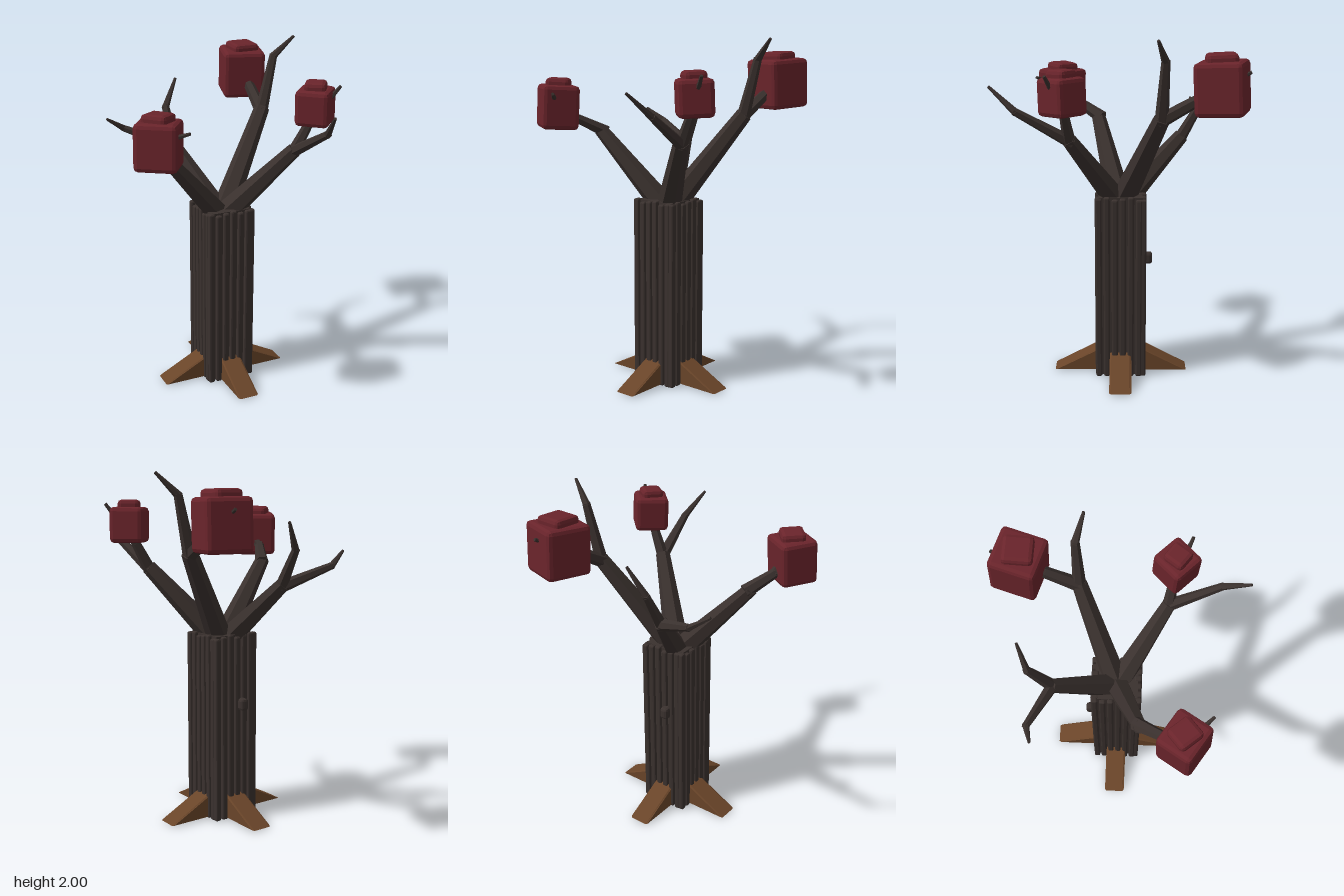
import * as THREE from 'three';
import { RoundedBoxGeometry } from 'three/addons/geometries/RoundedBoxGeometry.js';

const paint = (color) => new THREE.MeshStandardMaterial({ color, flatShading: true });

export function createModel() {
  const bark = paint(0x3a312e);
  const rootWood = paint(0x6a4529);
  const red = paint(0x6a242b);
  const tree = new THREE.Group();
  tree.name = 'tree';

  const add = (parent, name, geometry, material, x = 0, y = 0, z = 0) => {
    const mesh = new THREE.Mesh(geometry, material);
    mesh.name = name;
    mesh.position.set(x, y, z);
    parent.add(mesh);
    return mesh;
  };

  // Trunk: square core edged with upright bark ribs
  const trunk = new THREE.Group();
  trunk.name = 'trunk';
  trunk.position.set(0.058, 0, -0.003);
  tree.add(trunk);
  const height = 1.09;
  add(trunk, 'trunkCore', new THREE.BoxGeometry(0.25, height - 0.01, 0.25), bark, 0, height / 2, 0);
  for (let side = 0; side < 4; side++) {
    const wall = new THREE.Group();
    wall.name = 'barkSide';
    wall.rotation.y = side * Math.PI / 2;
    trunk.add(wall);
    for (let i = 0; i < 6; i++) {
      const h = height - 0.008 * ((i * 2 + side) % 3);
      const rib = new RoundedBoxGeometry(0.036, h, 0.044, 1, 0.009);
      add(wall, 'barkRib', rib, bark, -0.125 + i * 0.046, h / 2, 0.125);
    }
  }
  add(trunk, 'knob', new RoundedBoxGeometry(0.05, 0.07, 0.06, 1, 0.015), bark, -0.035, 0.68, -0.155);

  // Two crossed wedges make the four roots
  const profile = new THREE.Shape([
    [-0.38, 0.007], [0.38, 0.007], [0.1, 0.15], [-0.1, 0.15],
  ].map(([x, y]) => new THREE.Vector2(x, y)));
  const roots = new THREE.ExtrudeGeometry(profile, {
    depth: 0.108, bevelEnabled: true, bevelSize: 0.007, bevelThickness: 0.009, bevelSegments: 1,
  }).translate(0, 0, -0.054);
  add(trunk, 'sideRoots', roots, rootWood);
  add(trunk, 'frontAndBackRoots', roots, rootWood).rotation.y = Math.PI / 2;

  // A limb is a chain of tapered six-sided segments: points are [x, y, z, radius]
  const limb = (name, points) => {
    const group = new THREE.Group();
    group.name = name;
    tree.add(group);
    for (let i = 0; i + 1 < points.length; i++) {
      const a = new THREE.Vector3(...points[i].slice(0, 3));
      const b = new THREE.Vector3(...points[i + 1].slice(0, 3));
      const axis = b.clone().sub(a);
      const length = axis.length();
      axis.normalize();
      const segment = new THREE.CylinderGeometry(points[i + 1][3], points[i][3], length + 0.02, 6);
      const mesh = add(group, name + 'Segment', segment, bark);
      mesh.position.copy(a).add(b).multiplyScalar(0.5);
      mesh.quaternion.setFromUnitVectors(new THREE.Vector3(0, 1, 0), axis);
    }
  };
  const base = [0.055, 1.01, 0, 0.075];

  limb('backRightBranch', [base, [-0.105, 1.38, -0.35, 0.042]]);
  limb('backRightUpperTwig', [[-0.1, 1.36, -0.34, 0.037], [-0.1, 1.58, -0.465, 0.022], [-0.02, 1.73, -0.51, 0.008]]);
  limb('backRightLowerTwig', [[-0.1, 1.37, -0.345, 0.036], [-0.37, 1.48, -0.46, 0.02], [-0.475, 1.55, -0.43, 0.008]]);

  limb('backLeftBranch', [base, [0.42, 1.57, -0.22, 0.045]]);
  limb('backLeftUpperTwig', [[0.42, 1.56, -0.22, 0.038], [0.5, 1.88, -0.235, 0.023], [0.605, 1.99, -0.195, 0.008]]);
  limb('backLeftFruitTwig', [[0.415, 1.56, -0.21, 0.04], [0.43, 1.67, -0.4, 0.032], [0.46, 1.82, -0.67, 0.009]]);

  limb('frontRightBranch', [base, [-0.345, 1.465, 0.135, 0.04]]);
  limb('frontRightFruitTwig', [[-0.33, 1.46, 0.12, 0.04], [-0.42, 1.54, 0.26, 0.028], [-0.43, 1.65, 0.42, 0.018], [-0.36, 1.69, 0.5, 0.009]]);

  limb('frontLeftBranch', [base, [0.37, 1.45, 0.27, 0.042]]);
  limb('frontLeftFrontTwig', [[0.37, 1.44, 0.26, 0.036], [0.415, 1.61, 0.55, 0.021], [0.37, 1.73, 0.685, 0.008]]);
  limb('frontLeftFruitTwig', [[0.37, 1.44, 0.27, 0.036], [0.45, 1.6, 0.29, 0.025], [0.585, 1.81, 0.375, 0.009]]);

  // Blocky bevelled leaf clusters with a small cap on top
  const cluster = (name, [x, y, z], [w, h, d], turn, capTurn, tilt) => {
    const group = new THREE.Group();
    group.name = name;
    group.position.set(x, y, z);
    group.rotation.set(tilt, turn, 0, 'YXZ');
    tree.add(group);
    add(group, 'leafBlock', new RoundedBoxGeometry(w, h, d, 1, 0.024), red);
    const cap = new RoundedBoxGeometry(w * 0.64, 0.08, d * 0.64, 1, 0.022);
    add(group, 'leafCap', cap, red, 0, h / 2, 0).rotation.y = capTurn;
  };
  cluster('backLeftLeaves', [0.437, 1.74, -0.533], [0.25, 0.28, 0.26], -0.28, 0.26, 0.05);
  cluster('frontRightLeaves', [-0.468, 1.61, 0.362], [0.228, 0.25, 0.212], -0.58, -0.3, -0.05);
  cluster('frontLeftLeaves', [0.482, 1.7, 0.298], [0.19, 0.2, 0.192], -0.78, 0.15, 0.04);

  return tree;
}
